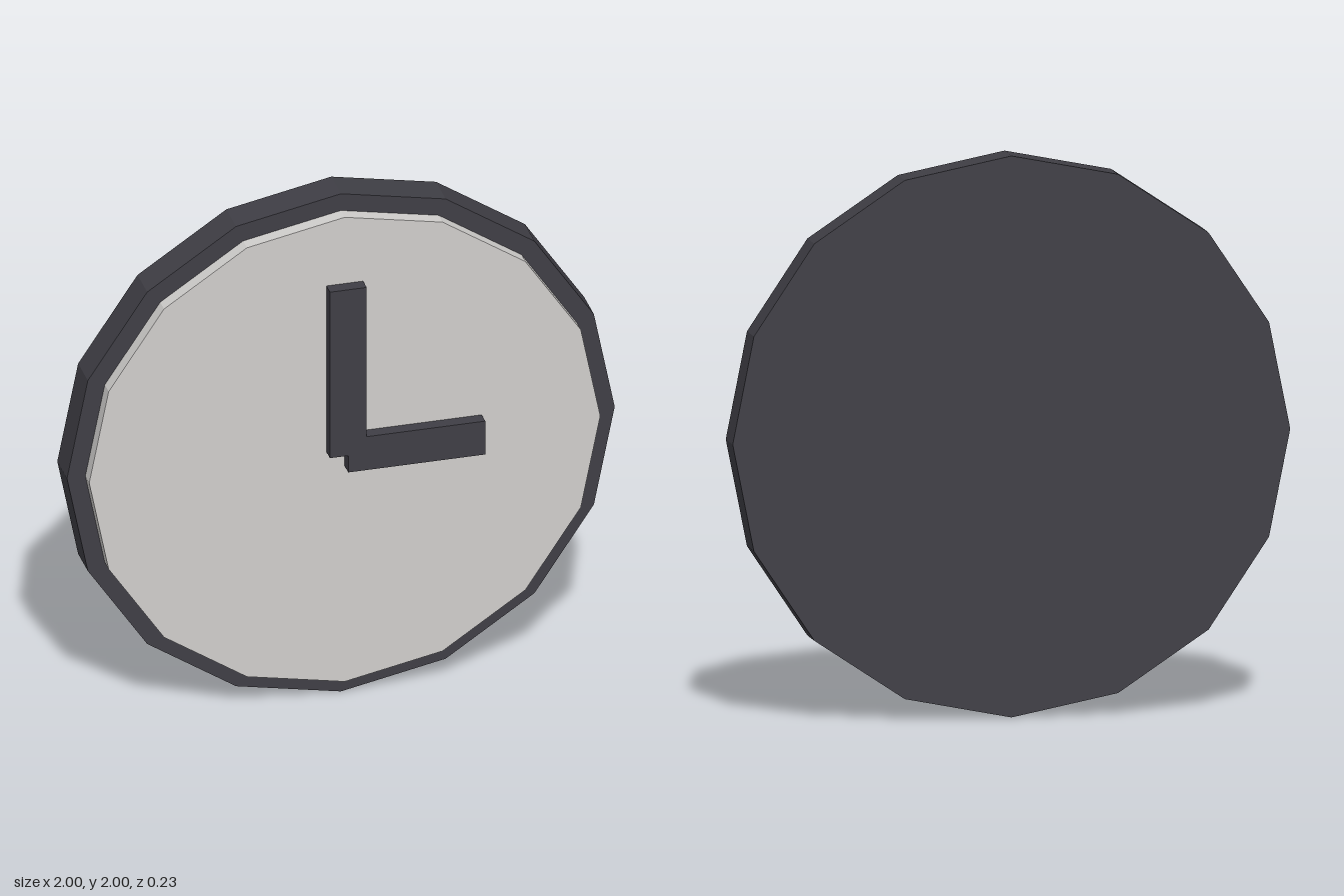
import * as THREE from 'three';

export function createModel() {
  const group = new THREE.Group();
  const dark = new THREE.MeshStandardMaterial({ color: 0x3f3e45 });
  dark.name = 'charcoal';
  const pale = new THREE.MeshStandardMaterial({ color: 0xd0cecc });
  pale.name = 'pale grey';

  const add = (name, geometry, material, x, y, z) => {
    const mesh = new THREE.Mesh(geometry, material);
    mesh.name = name;
    mesh.position.set(x, y, z);
    group.add(mesh);
  };

  // Sixteen-sided disc facing +z, with flat-shaded sides
  const disc = (name, radius, back, front, material) => {
    const geometry = new THREE.CylinderGeometry(radius, radius, front - back, 16)
      .rotateX(Math.PI / 2).toNonIndexed();
    geometry.computeVertexNormals();
    add(name, geometry, material, 0, 1, (back + front) / 2);
  };

  // Clock case and raised dial
  disc('case', 1, -0.115, 0.015, dark);
  disc('dial', 0.933, 0.01, 0.067, pale);

  // Hands, offset from each other at the centre
  const thick = 0.05;
  const z = 0.115 - thick / 2;
  add('minuteHand', new THREE.BoxGeometry(0.134, 0.667, thick), dark, 0, 1.3335, z);
  add('hourHand', new THREE.BoxGeometry(0.5, 0.134, thick), dark, 0.25, 1, z);

  return group;
}
